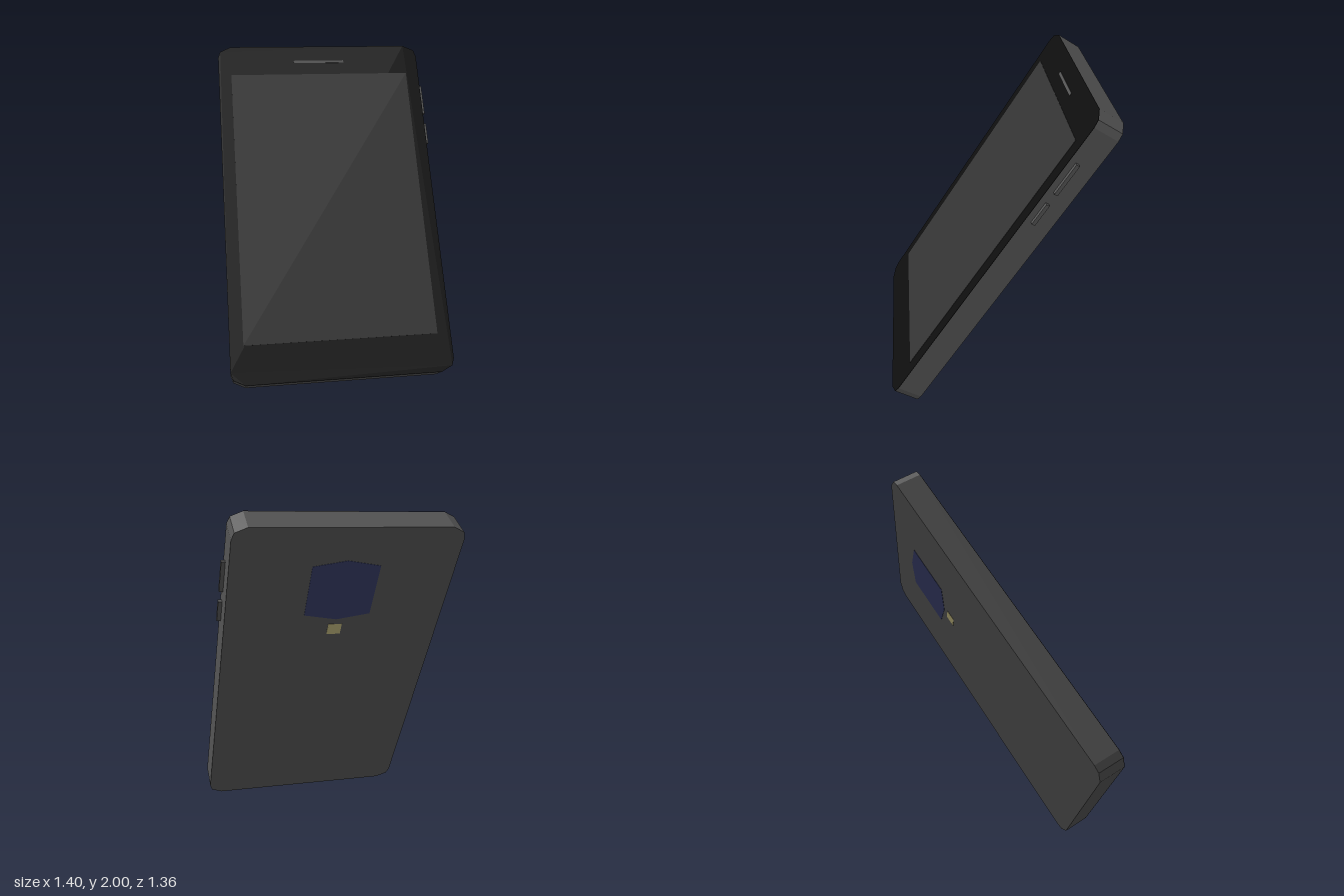
import * as THREE from 'three';

const W = 1.38, L = 2.266, T = 0.166; // width, length, thickness

const material = (color) => new THREE.MeshStandardMaterial({ color, flatShading: true });

// Slab cut from an outline, lying between two depths
function slab(name, points, z0, z1, color) {
  const shape = new THREE.Shape(points.map(([x, y]) => new THREE.Vector2(x, y)));
  const geometry = new THREE.ExtrudeGeometry(shape, { depth: z1 - z0, bevelEnabled: false });
  geometry.translate(0, 0, z0);
  const mesh = new THREE.Mesh(geometry, material(color));
  mesh.name = name;
  return mesh;
}

function box(name, size, position, color) {
  const mesh = new THREE.Mesh(new THREE.BoxGeometry(...size), material(color));
  mesh.position.set(...position);
  mesh.name = name;
  return mesh;
}

// Mirrors one corner's points into a closed counter-clockwise outline
function mirrored(corner) {
  const flipped = [...corner].reverse();
  return [
    ...corner,
    ...flipped.map(([x, y]) => [-x, y]),
    ...corner.map(([x, y]) => [-x, -y]),
    ...flipped.map(([x, y]) => [x, -y]),
  ];
}

export function createModel() {
  const model = new THREE.Group();
  model.name = 'phone';

  // Leaning back, with the lower back edge on the ground
  const phone = new THREE.Group();
  phone.name = 'tiltedPhone';
  phone.rotation.x = -0.568;
  phone.position.set(-0.0135, 1, 0);
  model.add(phone);

  // Body with cut corners, and the black front panel
  const w = W / 2, l = L / 2, front = T / 2;
  const outline = mirrored([[w, l - 0.08], [w - 0.015, l - 0.035], [w - 0.087, l]]);
  phone.add(slab('body', outline, -front, front - 0.003, 0x555555));
  phone.add(slab('frontPanel', outline, front - 0.003, front, 0x0e0e0e));

  // Screen and earpiece, almost flush with the panel
  phone.add(box('screen', [1.21, 1.816, 0.004], [-0.001, 0.012, front], 0x333333));
  phone.add(box('earpiece', [0.345, 0.018, 0.004], [-0.004, 1.015, front], 0x555555));

  // Side buttons
  for (const [name, length, y] of [['volumeButton', 0.21, 0.731], ['powerButton', 0.146, 0.478]]) {
    phone.add(box(name, [0.05, length, 0.022], [w - 0.001, y, 0.033], 0x555555));
  }

  // Rear camera window and flash
  const cameraOutline = [[0.208, -0.178], [0.208, 0.178], [0, 0.217], [-0.208, 0.178], [-0.208, -0.178], [0, -0.217]];
  const camera = slab('cameraWindow', cameraOutline, -front - 0.002, -front + 0.002, 0x363c66);
  camera.position.y = 0.692;
  phone.add(camera);
  phone.add(box('flash', [0.087, 0.078, 0.004], [0, 0.397, -front], 0xbdb37c));

  return model;
}
